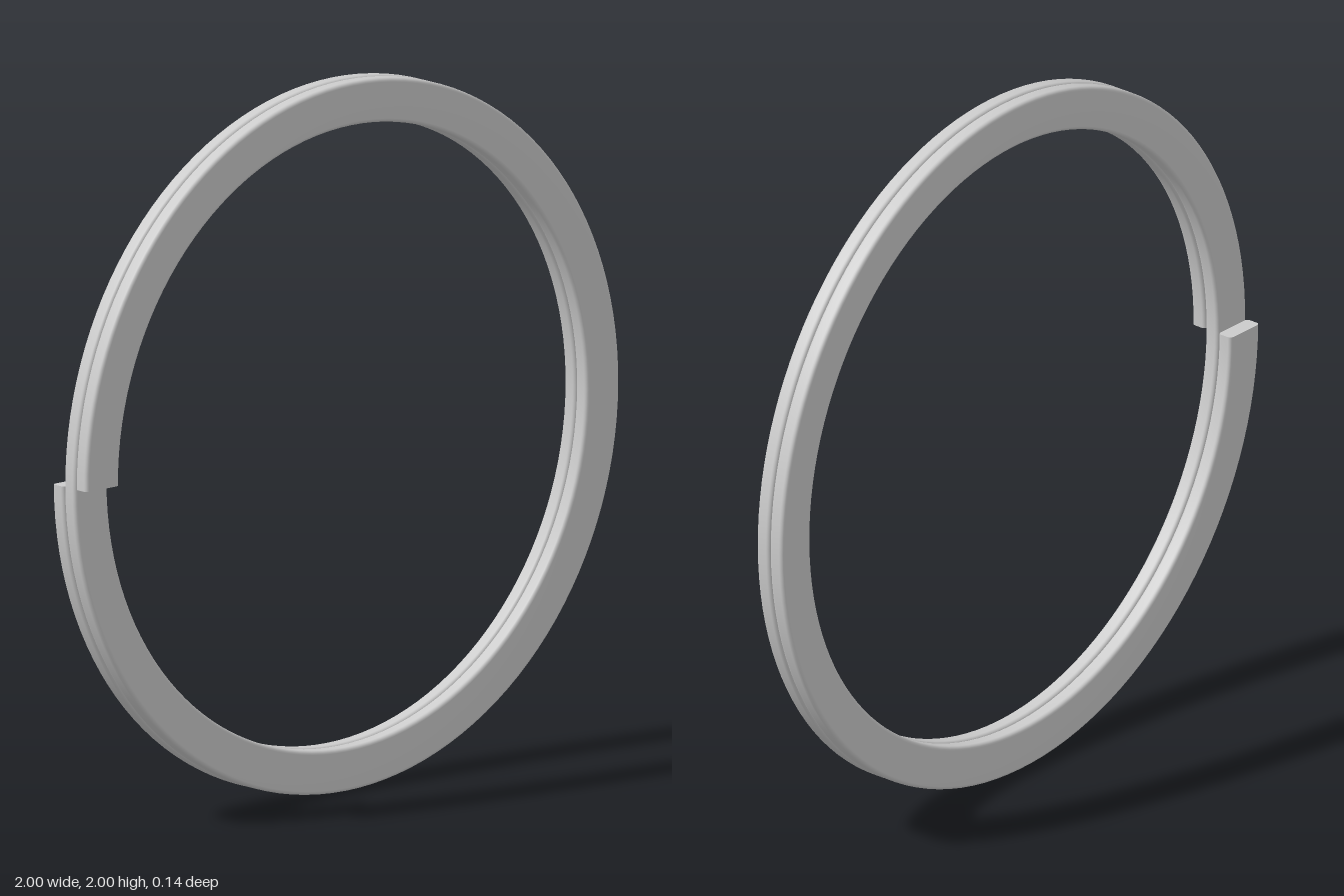
import * as THREE from 'three';

const OUTER = 1, INNER = 0.877;       // radii of the ring
const THICK = 0.046, PITCH = 0.047;   // wire thickness and rise per turn
const BEVEL = 0.011, TURNS = 2, STEPS = 256;

// Rounded rectangle wire section as [radius, z], counter-clockwise
function wireSection() {
  const points = [];
  const w = (OUTER - INNER) / 2 - BEVEL, h = THICK / 2 - BEVEL, mid = (OUTER + INNER) / 2;
  const corners = [[1, 1], [-1, 1], [-1, -1], [1, -1]];
  corners.forEach(([sx, sz], c) => {
    for (let k = 0; k <= 4; k++) {
      const a = (c + k / 4) * Math.PI / 2;
      points.push([mid + sx * w + BEVEL * Math.cos(a), sz * h + BEVEL * Math.sin(a)]);
    }
  });
  return points;
}

// Sweep the section along a flat helix, from the front end to the back end
function coilGeometry() {
  const section = wireSection(), n = section.length;
  const positions = [], index = [];
  const addSection = (t) => {
    const angle = Math.PI - t * TURNS * Math.PI * 2;
    const rise = PITCH * TURNS * (0.5 - t);
    for (const [r, z] of section) {
      positions.push(r * Math.cos(angle), 1 + r * Math.sin(angle), z + rise);
    }
  };

  for (let i = 0; i <= STEPS; i++) addSection(i / STEPS);
  for (let i = 0; i < STEPS; i++) {
    for (let j = 0; j < n; j++) {
      const a = i * n + j, b = i * n + (j + 1) % n;
      index.push(a, b, a + n, b, b + n, a + n);
    }
  }

  // Flat cut ends with their own vertices, so their edges stay sharp
  for (const t of [0, 1]) {
    const base = positions.length / 3;
    addSection(t);
    for (let j = 1; j < n - 1; j++) {
      if (t === 0) index.push(base, base + j + 1, base + j);
      else index.push(base, base + j, base + j + 1);
    }
  }

  const geometry = new THREE.BufferGeometry();
  geometry.setAttribute('position', new THREE.Float32BufferAttribute(positions, 3));
  geometry.setIndex(index);
  geometry.computeVertexNormals();
  return geometry;
}

export function createModel() {
  const group = new THREE.Group();
  group.name = 'splitRing';
  const coil = new THREE.Mesh(coilGeometry(), new THREE.MeshStandardMaterial({ color: 0xcccccc }));
  coil.name = 'doubleCoil';
  group.add(coil);
  return group;
}
